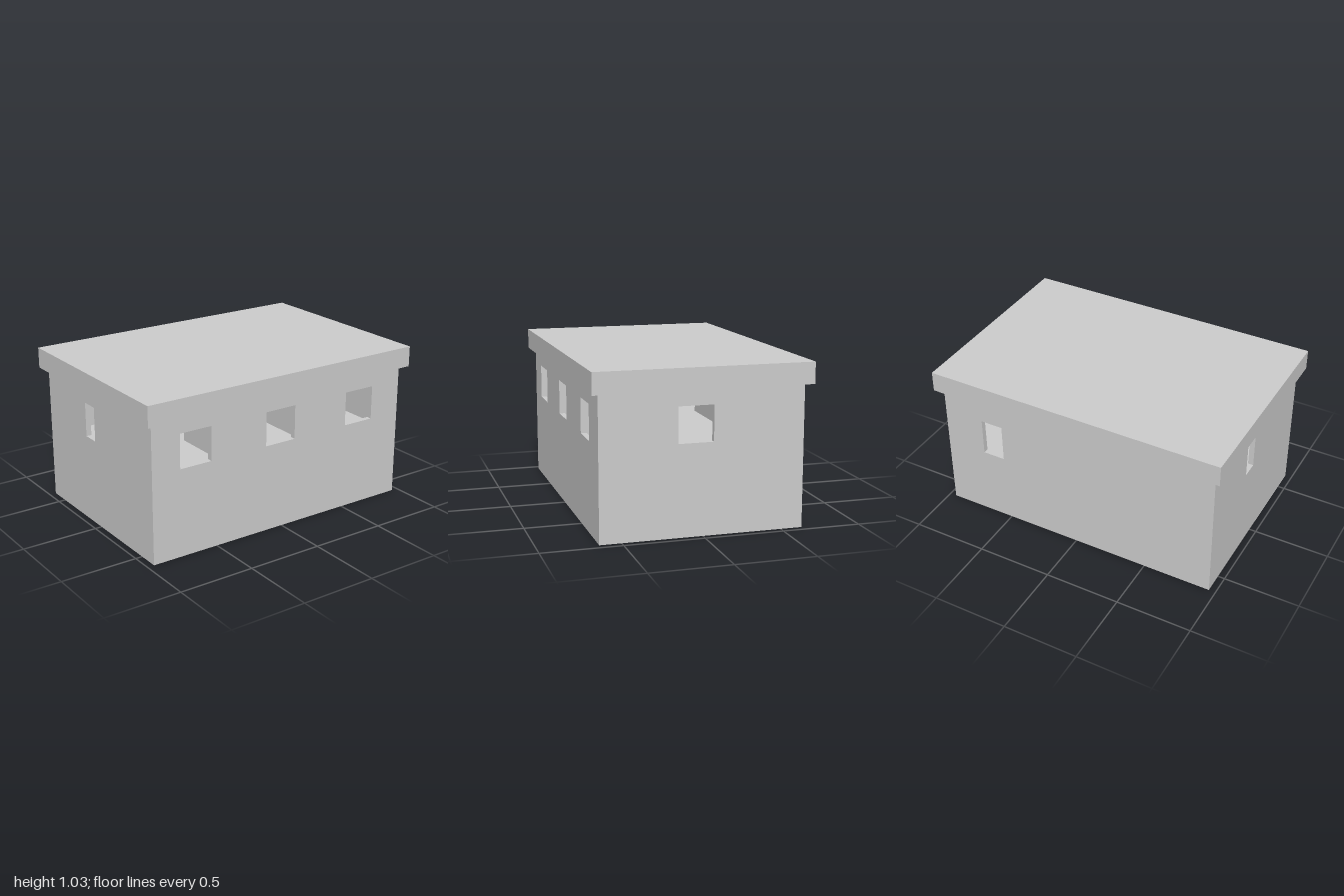
import * as THREE from 'three';

const grey = new THREE.MeshStandardMaterial({ color: 0xcccccc, flatShading: true });
const HX = 0.955, HZ = 0.637; // half size of the outer walls
const WALL = 0.035;           // wall thickness
const EAVE = 0.895, TOP = 1.03;
const FLOOR = 0.445;          // raised interior floor

// Box given by its minimum and maximum corners
function block(name, [x0, y0, z0], [x1, y1, z1]) {
  const mesh = new THREE.Mesh(new THREE.BoxGeometry(x1 - x0, y1 - y0, z1 - z0), grey);
  mesh.position.set((x0 + x1) / 2, (y0 + y1) / 2, (z0 + z1) / 2);
  mesh.name = name;
  return mesh;
}

// Upright wall in the xy plane, pierced by openings [u0, u1, y0, y1]
function piercedWall(name, half, openings) {
  const rect = (Type, u0, u1, y0, y1) => {
    const path = new Type();
    path.moveTo(u0, y0).lineTo(u1, y0).lineTo(u1, y1).lineTo(u0, y1).closePath();
    return path;
  };
  const shape = rect(THREE.Shape, -half, half, 0, EAVE);
  for (const o of openings) shape.holes.push(rect(THREE.Path, ...o));
  const mesh = new THREE.Mesh(
    new THREE.ExtrudeGeometry(shape, { depth: WALL, bevelEnabled: false }), grey);
  mesh.name = name;
  return mesh;
}

export function createModel() {
  const model = new THREE.Group();
  model.name = 'building';

  // Front and back walls
  const front = piercedWall('frontWall', HX,
    [-0.76, -0.13, 0.505].map(x => [x, x + 0.222, 0.573, 0.797]));
  front.position.z = HZ - WALL;
  const back = piercedWall('backWall', HX, [[0.53, 0.68, 0.48, 0.732]]);
  back.position.z = -HZ;

  // Side walls fit between them; turned so the wall's u axis runs along -z
  const right = piercedWall('positiveXWall', HZ - WALL, [[-0.155, 0.065, 0.573, 0.797]]);
  const left = piercedWall('negativeXWall', HZ - WALL, [[0.037, 0.15, 0.573, 0.797]]);
  right.rotation.y = left.rotation.y = Math.PI / 2;
  right.position.x = HX - WALL;
  left.position.x = -HX;
  model.add(front, back, right, left);

  // Raised floor and flat overhanging roof
  const ix = HX - WALL, iz = HZ - WALL;
  model.add(block('floor', [-ix, 0, -iz], [ix, FLOOR, iz]));
  model.add(block('roof', [-1, EAVE, -0.682], [1, TOP, 0.682]));

  // Partitions between the front bays
  for (const x of [-0.28, 0.36]) {
    model.add(block('partition', [x - WALL, FLOOR, -0.01], [x, EAVE, iz]));
  }

  // Low cabinet against the back wall
  model.add(block('cabinet', [-0.57, FLOOR, -iz], [-0.05, 0.732, -0.45]));

  return model;
}
